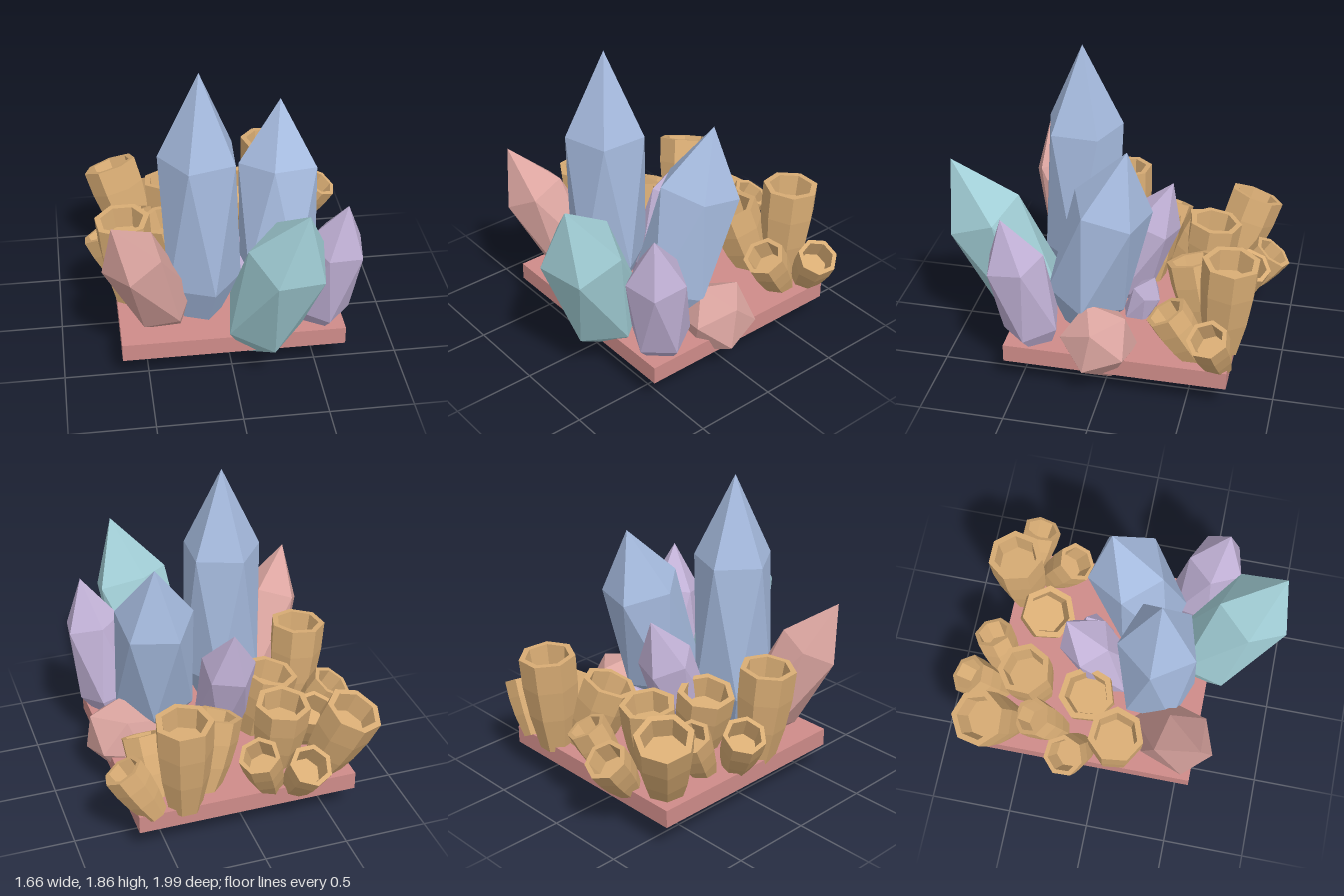
import * as THREE from 'three';
import { ConvexGeometry } from 'three/addons/geometries/ConvexGeometry.js';

const V = (a) => new THREE.Vector3(...a);
const mat = (color, side = THREE.FrontSide) =>
  new THREE.MeshStandardMaterial({ color, flatShading: true, side });

const blue = mat(0xa6bbdf);
const teal = mat(0xa3d0d8);
const lilac = mat(0xc3b3d8);
const rose = mat(0xdba5a0);
const tan = mat(0xd8ac74, THREE.DoubleSide);
const slab = mat(0xcf8c89);

// Long twelve-cornered crystal between two tips: two five-sided rings, offset
// by half a step. One corner of the upper ring points towards `toward`.
function crystal(name, material, top, bottom, radius, toward) {
  const t = V(top), b = V(bottom);
  const axis = t.clone().sub(b).normalize();
  const upper = b.clone().lerp(t, 0.7236), lower = b.clone().lerp(t, 0.2764);
  const u = V(toward).sub(upper);
  u.addScaledVector(axis, -u.dot(axis)).normalize();
  const w = axis.clone().cross(u);
  const points = [t, b];
  for (let i = 0; i < 10; i++) {
    const a = (i * Math.PI) / 5;
    points.push((i % 2 ? lower : upper).clone()
      .addScaledVector(u, radius * Math.cos(a))
      .addScaledVector(w, radius * Math.sin(a)));
  }
  const mesh = new THREE.Mesh(new ConvexGeometry(points), material);
  mesh.name = name;
  return mesh;
}

// Seven-sided hollow cup that widens from its foot to its rim
function cup(rim, foot, r, turn) {
  const t = V(rim), b = V(foot);
  const h = t.distanceTo(b);
  const profile = [
    [0, 0], [0.6 * r, 0], [0.86 * r, h * 0.38], [0.98 * r, h * 0.7], [r, h],
    [0.78 * r, h], [0.7 * r, h - 0.13], [0, h - 0.13],
  ].map(([x, y]) => new THREE.Vector2(x, y));
  const geometry = new THREE.LatheGeometry(profile, 7, turn);
  const mesh = new THREE.Mesh(geometry, tan);
  mesh.name = 'hollowCup';
  mesh.position.copy(b);
  mesh.quaternion.setFromUnitVectors(new THREE.Vector3(0, 1, 0), t.sub(b).normalize());
  return mesh;
}

export function createModel() {
  const model = new THREE.Group();
  model.name = 'crystalGarden';

  // Square base
  const base = new THREE.Mesh(new THREE.BoxGeometry(1.325, 0.11, 1.325), slab);
  base.name = 'base';
  base.position.set(0.007, 0.215, -0.077);
  model.add(base);

  // Crystals: top tip, bottom tip, ring radius, an upper ring corner
  const crystals = new THREE.Group();
  crystals.name = 'crystals';
  crystals.add(
    crystal('tallBlueCrystal', blue, [-0.16, 1.86, 0.28], [-0.16, 0, 0.28], 0.24, [-0.245, 1.36, 0.504]),
    crystal('leaningBlueCrystal', blue, [0.365, 1.47, -0.095], [0.3, 0.11, 0.24], 0.245, [0.54, 1.08, -0.16]),
    crystal('tealCrystal', teal, [0.355, 1.31, 0.94], [0.1, 0.02, 0.41], 0.24, [0.2, 0.92, 0.99]),
    crystal('frontLilacCrystal', lilac, [0.65, 1.12, 0.57], [0.49, 0.08, 0.38], 0.178, [0.53, 0.81, 0.675]),
    crystal('backLilacCrystal', lilac, [-0.05, 1.07, -0.29], [-0.065, 0.07, 0.11], 0.17, [0.1, 0.77, -0.29]),
    crystal('smallLilacCrystal', lilac, [0.19, 0.55, -0.23], [0.15, 0.14, -0.07], 0.09, [0.27, 0.42, -0.18]),
    crystal('rightRoseCrystal', rose, [-0.69, 1.11, 0.62], [-0.28, 0.13, 0.26], 0.19, [-0.6, 0.75, 0.71]),
    crystal('leftRoseCrystal', rose, [0.75, 0.47, 0.04], [0.36, 0.15, 0.02], 0.21, [0.55, 0.64, 0.14]),
  );
  model.add(crystals);

  // Cups: rim centre, foot centre, rim radius
  const cups = new THREE.Group();
  cups.name = 'cups';
  [
    [[-0.63, 0.72, -0.73], [-0.48, 0.24, -0.58], 0.172],
    [[-0.31, 0.51, -0.88], [-0.29, 0.24, -0.69], 0.128],
    [[-0.03, 0.57, -0.78], [-0.15, 0.24, -0.66], 0.122],
    [[-0.27, 0.71, -0.52], [-0.25, 0.24, -0.46], 0.165],
    [[-0.515, 0.56, -0.43], [-0.48, 0.24, -0.27], 0.125],
    [[-0.72, 0.56, -0.19], [-0.56, 0.24, -0.1], 0.128],
    [[-0.34, 0.67, -0.12], [-0.25, 0.24, -0.1], 0.172],
    [[-0.605, 0.84, 0.115], [-0.56, 0.24, 0.09], 0.168],
    [[0.13, 0.67, -0.45], [0.24, 0.24, -0.56], 0.168],
    [[0.39, 0.85, -0.71], [0.38, 0.24, -0.67], 0.17],
    [[0.73, 0.54, -0.63], [0.56, 0.24, -0.69], 0.122],
    [[0.54, 0.56, -0.36], [0.52, 0.24, -0.55], 0.128],
  ].forEach(([rim, foot, r], i) => cups.add(cup(rim, foot, r, Math.PI + i * 0.05)));
  model.add(cups);

  return model;
}
